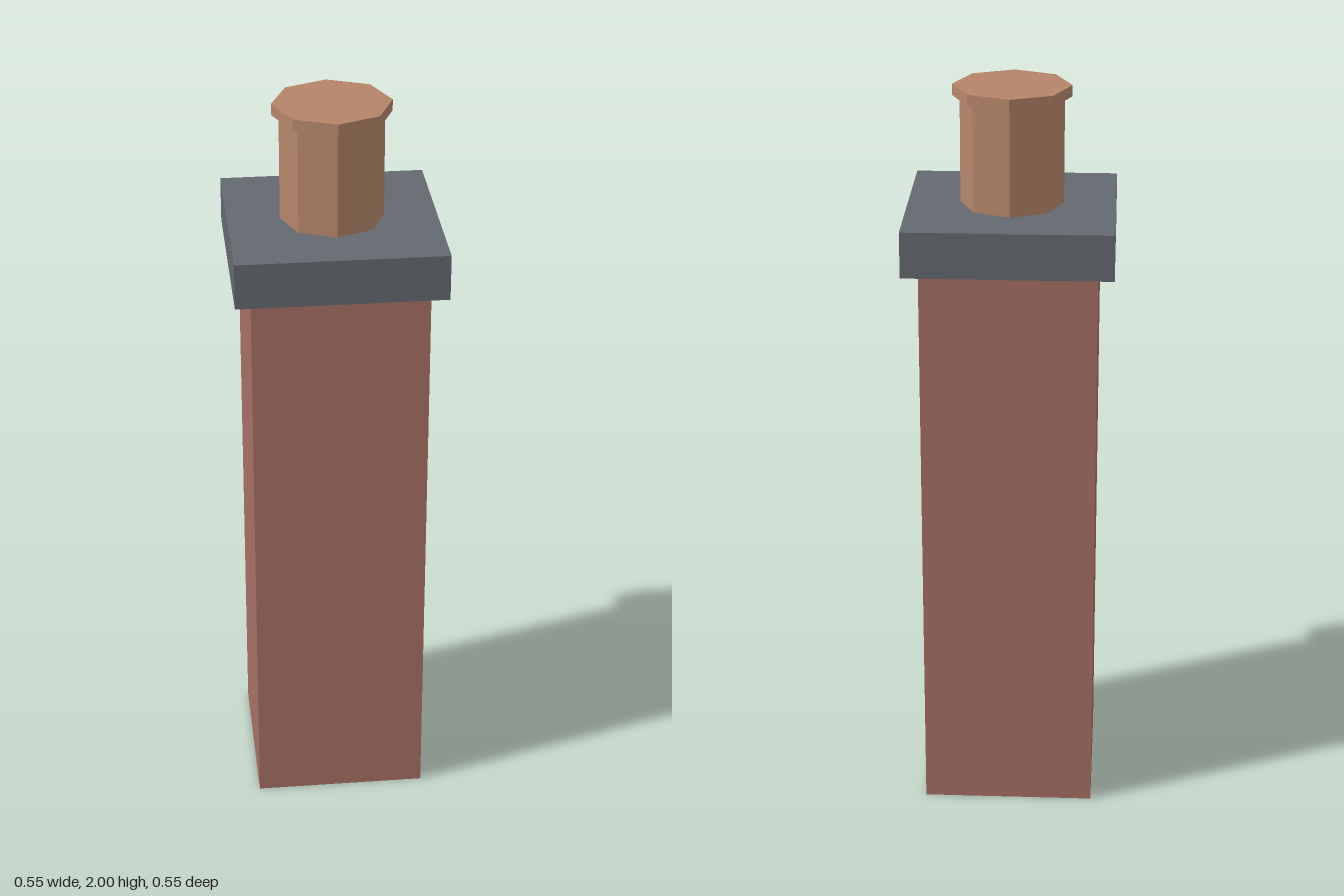
import * as THREE from 'three';

export function createModel() {
  const model = new THREE.Group();
  model.name = 'chimney';

  const brick = new THREE.MeshStandardMaterial({ color: 0xa66f64, flatShading: true });
  const slate = new THREE.MeshStandardMaterial({ color: 0x646970, flatShading: true });
  const clay = new THREE.MeshStandardMaterial({ color: 0xb58569, flatShading: true });

  // Places a part between two heights
  function add(name, geometry, material, bottom, top) {
    const mesh = new THREE.Mesh(geometry, material);
    mesh.name = name;
    mesh.position.y = (bottom + top) / 2;
    model.add(mesh);
  }
  const block = (name, width, bottom, top, material) =>
    add(name, new THREE.BoxGeometry(width, top - bottom, width), material, bottom, top);
  const octagon = (name, radius, bottom, top, material) =>
    add(name, new THREE.CylinderGeometry(radius, radius, top - bottom, 8), material, bottom, top);

  // Square shaft and overhanging slab
  block('stack', 0.465, 0, 1.56, brick);
  block('capSlab', 0.55, 1.56, 1.683, slate);

  // Eight-sided pot with a wider rim
  octagon('pot', 0.137, 1.683, 1.97, clay);
  octagon('potRim', 0.156, 1.97, 2, clay);

  return model;
}
